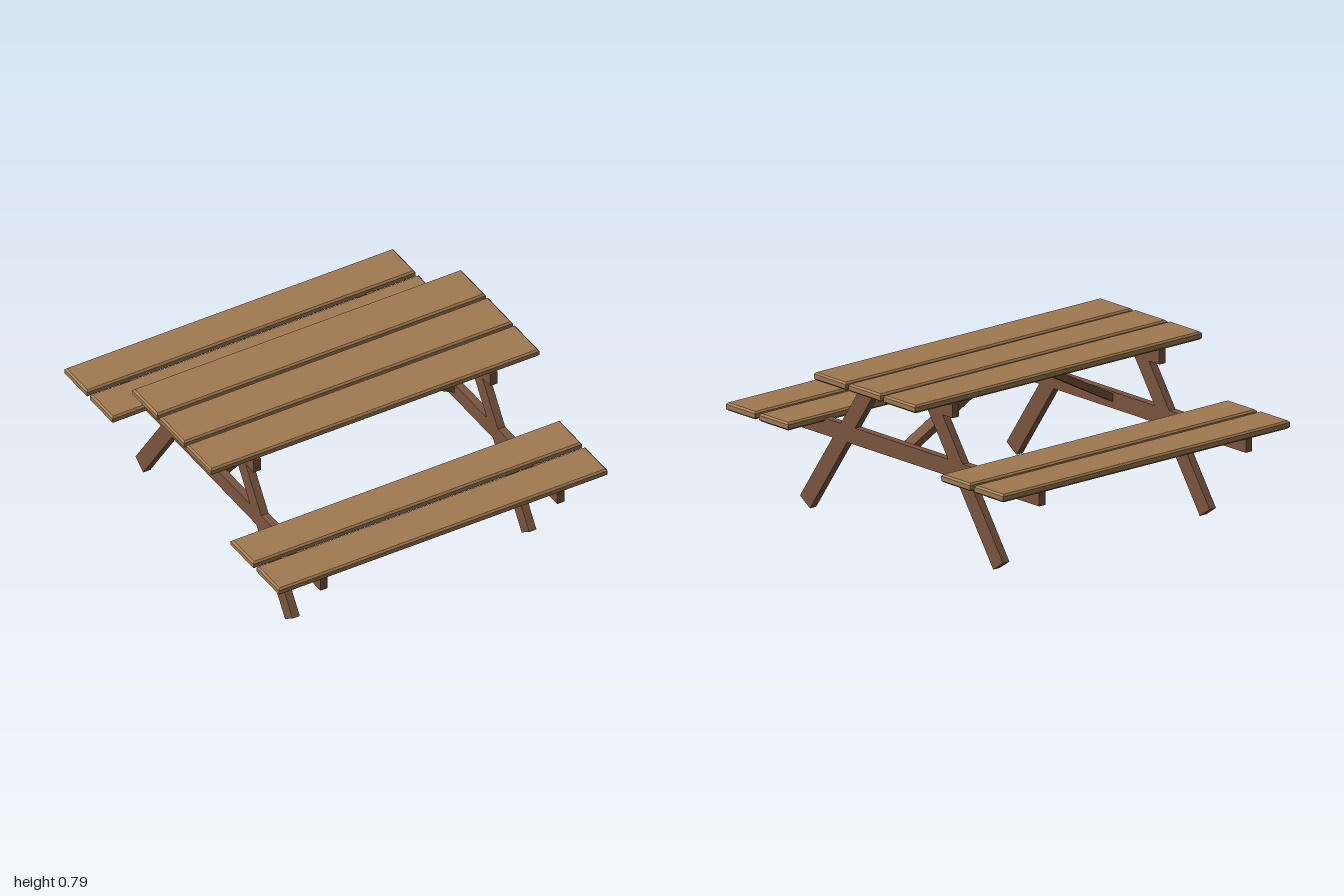
import * as THREE from 'three';

const plankWood = new THREE.MeshStandardMaterial({ color: 0xa07a50 });
plankWood.name = 'light plank wood';
const frameWood = new THREE.MeshStandardMaterial({ color: 0x7a553e });
frameWood.name = 'dark frame wood';

const LENGTH = 1.82, THICK = 0.04, BEVEL = 0.009;

// Flat board along x with chamfered edges, centred on its origin
function plankGeometry(width) {
  const x = LENGTH / 2, z = width / 2;
  const shape = new THREE.Shape([
    new THREE.Vector2(-x, -z), new THREE.Vector2(x, -z),
    new THREE.Vector2(x, z), new THREE.Vector2(-x, z),
  ]);
  const geometry = new THREE.ExtrudeGeometry(shape, {
    depth: THICK - 2 * BEVEL, bevelEnabled: true, bevelSegments: 1,
    bevelSize: BEVEL, bevelThickness: BEVEL, bevelOffset: -BEVEL,
  });
  return geometry.center().rotateX(-Math.PI / 2);
}

function addPlank(parent, name, geometry, y, z) {
  const mesh = new THREE.Mesh(geometry, plankWood);
  mesh.name = name;
  mesh.position.set(0, y, z);
  parent.add(mesh);
}

// Square-ended timber; size is [x, y, z] before rotation
function addBeam(parent, name, size, position, rotation = [0, 0, 0]) {
  const mesh = new THREE.Mesh(new THREE.BoxGeometry(...size), frameWood);
  mesh.name = name;
  mesh.position.set(...position);
  mesh.rotation.set(...rotation);
  parent.add(mesh);
}

export function createModel() {
  const model = new THREE.Group();
  model.name = 'picnicTable';

  // Table top: three boards
  const top = new THREE.Group();
  top.name = 'tableTop';
  const topPlank = plankGeometry(0.23);
  for (const z of [-0.25, 0, 0.25]) addPlank(top, 'tablePlank', topPlank, 0.775, z);
  model.add(top);

  // Benches: two boards on each side
  const seatPlank = plankGeometry(0.21);
  for (const side of [-1, 1]) {
    const bench = new THREE.Group();
    bench.name = side > 0 ? 'frontBench' : 'backBench';
    for (const z of [0.655, 0.893]) addPlank(bench, 'benchPlank', seatPlank, 0.478, side * z);
    model.add(bench);
  }

  // End frames: cross beams, splayed legs and a diagonal brace
  const legTilt = Math.atan2(0.565, 0.825), legLength = 0.85;
  const braceTilt = Math.atan2(0.288, 0.547);
  for (const side of [-1, 1]) {
    const frame = new THREE.Group();
    frame.name = side > 0 ? 'leftFrame' : 'rightFrame';
    const x = side * 0.655;
    addBeam(frame, 'topBeam', [0.04, 0.07, 0.735], [x, 0.722, 0]);
    addBeam(frame, 'benchBeam', [0.04, 0.083, 1.98], [x, 0.433, 0]);
    for (const s of [-1, 1]) {
      const z = 0.695 - 0.565 * legLength / 2;
      const y = 0.025 + 0.825 * legLength / 2;
      addBeam(frame, 'leg', [0.04, legLength, 0.086], [x, y, s * z], [-s * legTilt, 0, 0]);
    }
    addBeam(frame, 'brace', [0.618, 0.036, 0.07], [side * 0.3715, 0.584, 0], [0, 0, -side * braceTilt]);
    model.add(frame);
  }

  return model;
}
